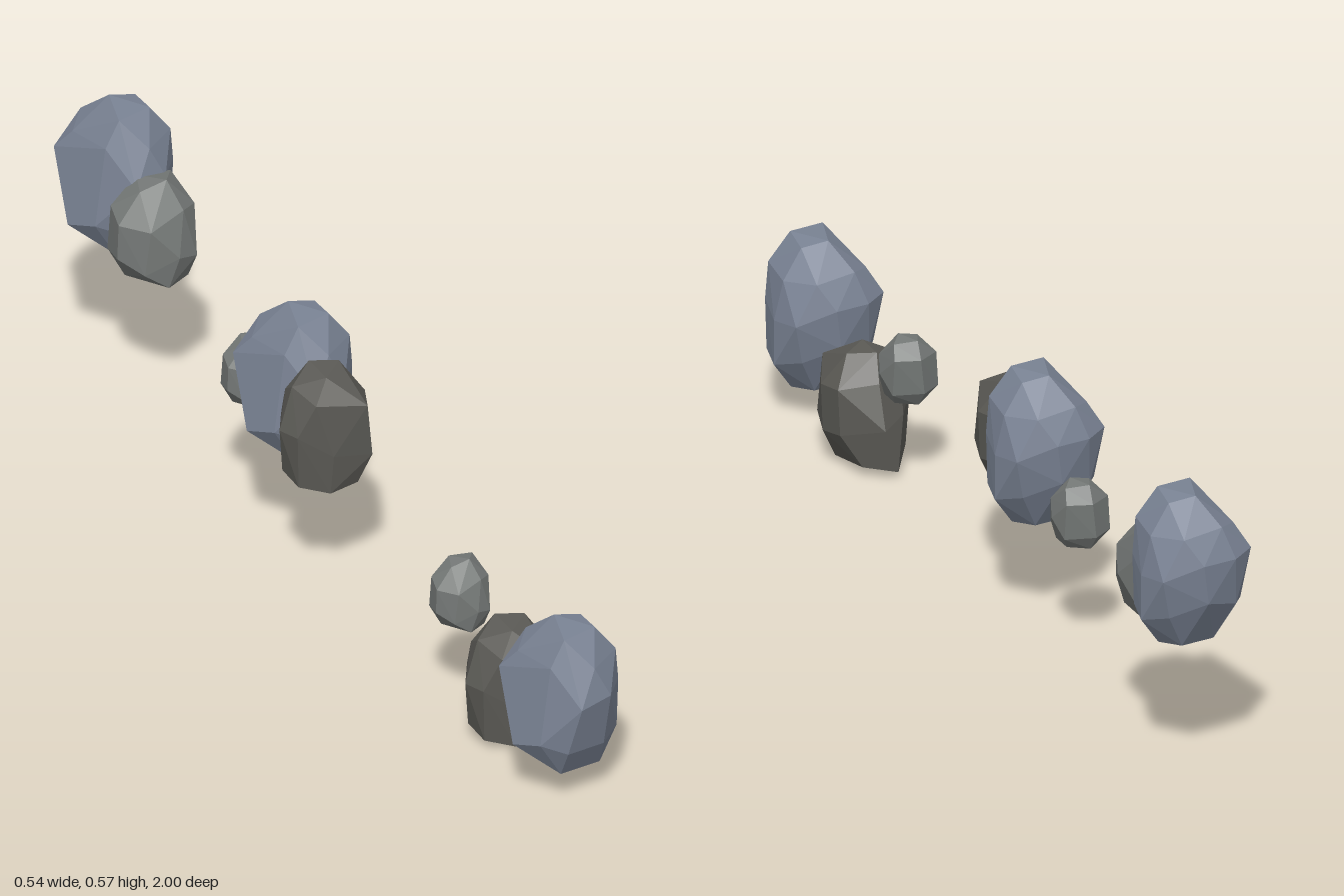
import * as THREE from 'three';
import { ConvexGeometry } from 'three/addons/geometries/ConvexGeometry.js';

// Corner points of each rock shape, ring by ring from the top down
const BOULDER = [
  [-.042, .143, .055], [.033, .145, .05], [.05, .138, -.015], [0, .147, -.03],
  [-.005, .09, .1], [.075, .09, .06], [.093, .083, -.02], [.06, .09, -.085], [-.02, .1, -.09], [-.07, .085, -.05], [-.07, .09, .05],
  [-.04, .015, .107], [.023, .03, .113], [.085, .02, .055], [.107, .003, -.01], [.1, .01, -.075],
  [.033, .04, -.112], [-.037, .04, -.112], [-.087, .043, -.085],
  [-.05, -.087, .078], [.03, -.087, .082], [.085, -.08, .05], [.107, -.087, -.01], [.08, -.07, -.065],
  [.02, -.04, -.107], [-.05, -.06, -.092], [-.107, -.087, -.017], [-.09, -.07, .045],
  [-.042, -.145, .045], [.045, -.145, .05], [.063, -.145, 0], [.04, -.142, -.045], [-.03, -.142, -.045],
];
const JAGGED = [
  [-.013, .113, .04], [.047, .113, 0], [0, .115, -.03], [-.063, .093, 0],
  [-.06, .08, .07], [.03, .07, .11], [.092, .063, -.04], [.085, .05, .03], [.02, .07, -.07], [-.04, .06, -.05],
  [-.088, .013, .05], [-.092, .01, 0], [-.03, 0, -.075], [.025, -.015, -.1],
  [.087, -.03, -.04], [.087, -.04, .02], [.045, -.04, .105], [-.03, -.03, .085],
  [-.078, -.098, .04], [-.07, -.09, -.02], [0, -.1, -.105], [.05, -.095, -.06],
  [.047, -.107, .04], [.03, -.105, .08], [-.03, -.112, .075], [-.008, -.115, -.06],
];
const PEBBLE = [
  [-.03, .085, 0], [.025, .097, .01], [.065, .087, -.03], [0, .09, -.05],
  [-.05, .03, .06], [.03, .05, .055], [.075, .04, .03], [.075, .045, -.05], [.01, .045, -.083], [-.06, .045, -.05], [-.08, .03, 0],
  [0, -.03, .083], [.05, -.045, .07], [.085, -.01, .01], [.075, -.06, -.04],
  [0, -.055, -.085], [-.06, -.05, -.06], [-.083, -.04, 0], [-.06, -.06, .055],
  [-.015, -.093, .07], [.045, -.093, .05], [.055, -.093, -.02], [0, -.098, -.055], [-.05, -.093, -.02],
];

// Faceted rock: the hull around its corner points
function rockGeometry(points) {
  return new ConvexGeometry(points.map(p => new THREE.Vector3(...p)));
}

function rockMaterial(color) {
  return new THREE.MeshStandardMaterial({ color, flatShading: true });
}

export function createModel() {
  const group = new THREE.Group();
  group.name = 'steppingRocks';

  const kinds = {
    boulder: [rockGeometry(BOULDER), rockMaterial(0x7a8394)],
    jagged: [rockGeometry(JAGGED), rockMaterial(0x5c5b56)],
    pebble: [rockGeometry(PEBBLE), rockMaterial(0x747876)],
  };

  function addRock(name, kind, position, scale = 1) {
    const mesh = new THREE.Mesh(...kinds[kind]);
    mesh.name = name;
    mesh.position.set(...position);
    mesh.scale.setScalar(scale);
    group.add(mesh);
  }

  // Front cluster
  addRock('frontBoulder', 'boulder', [-.163, .207, .887]);
  addRock('frontJaggedRock', 'jagged', [-.112, .115, .64]);
  addRock('frontSmallRock', 'pebble', [-.12, .238, .515], .68);

  // Middle cluster
  addRock('middleBoulder', 'boulder', [.013, .357, -.15]);
  addRock('middleJaggedRock', 'jagged', [-.027, .327, -.035]);
  addRock('middleSmallRock', 'pebble', [.035, .29, -.32], .68);

  // Back cluster
  addRock('backBoulder', 'boulder', [.162, .42, -.888]);
  addRock('backRock', 'pebble', [.135, .368, -.75]);

  return group;
}
